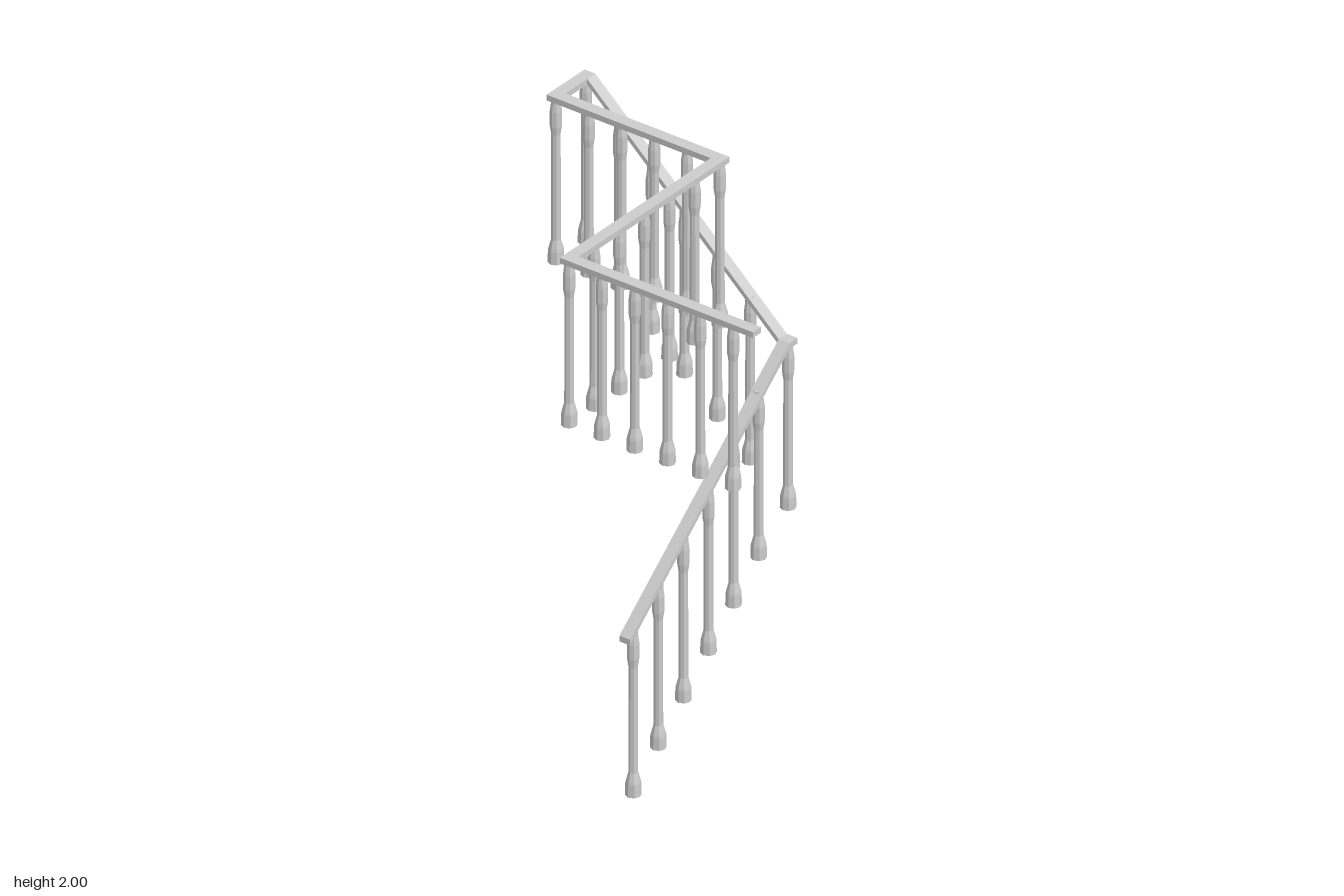
import * as THREE from 'three';

const mat = new THREE.MeshStandardMaterial({ color: 0xcccccc, flatShading: true });
const W = 0.043, T = 0.021; // handrail width and thickness

export function createModel() {
  const group = new THREE.Group();
  group.name = 'stairRailing';

  // Handrail bar between two points on its top centre line, sheared so its ends stay plumb
  function rail(name, a, b) {
    const dx = b[0] - a[0], dy = b[1] - a[1], dz = b[2] - a[2];
    const len = Math.hypot(dx, dz);
    const geo = new THREE.BoxGeometry(len, T, W);
    const p = geo.attributes.position;
    for (let i = 0; i < p.count; i++) p.setY(i, p.getY(i) + (p.getX(i) / len) * dy);
    geo.computeVertexNormals();
    const mesh = new THREE.Mesh(geo, mat);
    mesh.name = name;
    mesh.position.set((a[0] + b[0]) / 2, (a[1] + b[1] - T) / 2, (a[2] + b[2]) / 2);
    mesh.rotation.y = Math.atan2(-dz, dx);
    group.add(mesh);
  }

  // Turned baluster: flared foot, slim shaft, swollen neck, top tucked in the rail
  function baluster(x, bottom, z, h) {
    const profile = [
      [0, 0], [0.027, 0], [0.026, 0.045], [0.024, 0.055], [0.016, 0.085], [0.0155, 0.475],
      [0.02, 0.505], [0.02, 0.56], [0.016, 0.59], [0.016, h], [0, h],
    ].map(([r, y]) => new THREE.Vector2(r, y));
    const mesh = new THREE.Mesh(new THREE.LatheGeometry(profile, 8), mat);
    mesh.name = 'baluster';
    mesh.position.set(x, bottom, z);
    group.add(mesh);
  }

  const xR = 0.475, xM = 0.317, xL = -0.477; // rail lines running front to back
  const zF = 0.117, zM = -0.036, zB = -0.697; // rail lines running side to side
  const e = W / 2, mid = 1.31, top = 2, step = 0.132, rise = 0.1145;

  // Sloping flights and the small landing corner
  rail('lowerFlightRail', [-0.385, 0.601, zF], [xR - e, mid, zF]);
  rail('landingCorner', [xR - e, mid, zF], [xR + e, mid, zF]);
  rail('upperFlightRail', [xR, mid, zF - e], [xR, top, zB + e]);

  // Level rails around the upper floor
  rail('backRail', [xR + e, top, zB], [xM - e, top, zB]);
  rail('innerRail', [xM, top, zB + e], [xM, top, zM + e]);
  rail('crossRail', [xM - e, top, zM], [xL - e, top, zM]);
  rail('outerRail', [xL, top, zM + e], [xL, top, 0.72]);

  // Balusters under the two flights
  for (let i = 0; i < 6; i++) {
    baluster(-0.34 + i * step, i * rise, zF, 0.618);
    if (i < 5) baluster(xR, 0.8 + i * rise, zM - i * step, 0.617 + i * 0.004);
  }
  baluster(xR, 0.686, zF, 0.615);

  // Balusters under the level rails
  const level = (x, z) => baluster(x, 1.38, z, 0.61);
  level(xR, zB);
  for (let i = 0; i < 6; i++) {
    level(xM, zB + i * step);
    level(xL + i * step, zM);
    if (i < 5) level(xL, zM + (i + 1) * step);
  }
  return group;
}
